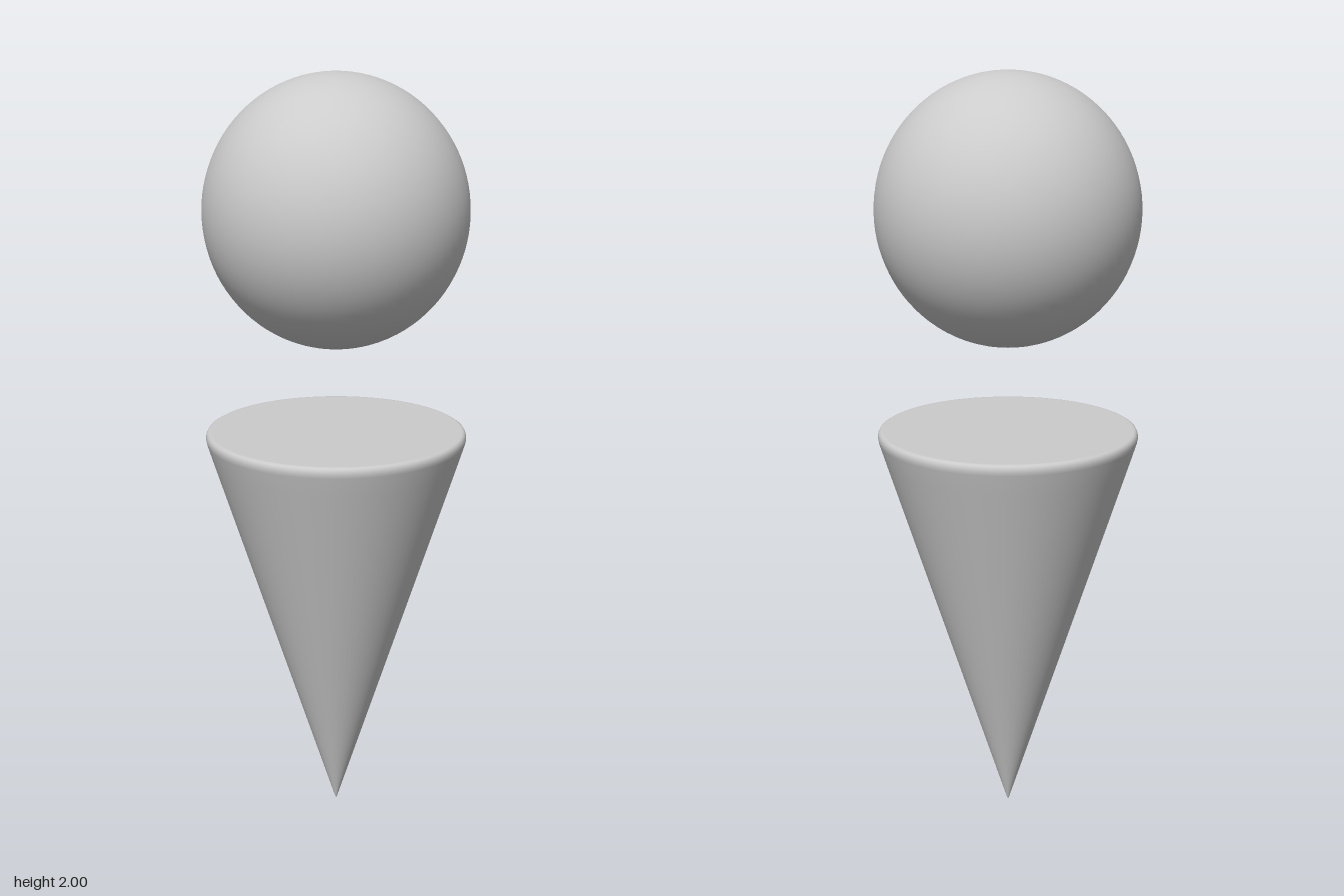
import * as THREE from 'three';

const material = new THREE.MeshStandardMaterial({ color: 0xcccccc });

function addPart(group, name, geometry) {
  const mesh = new THREE.Mesh(geometry, material);
  mesh.name = name;
  group.add(mesh);
  return mesh;
}

export function createModel() {
  const group = new THREE.Group();
  group.name = 'ballAboveCone';

  // Inverted cone with a softened rim and a flat top, from tip to centre of cap
  const profile = [
    [0, 0], [0.004, 0.01], [0.322, 1.0], [0.339, 1.054], [0.341, 1.064],
    [0.34, 1.072], [0.337, 1.078], [0.332, 1.081], [0.326, 1.081], [0, 1.081],
  ].map(([r, y]) => new THREE.Vector2(r, y));
  addPart(group, 'cone', new THREE.LatheGeometry(profile, 96));

  // Floating ball, slightly taller than wide
  const ball = addPart(group, 'ball', new THREE.SphereGeometry(1, 64, 48));
  ball.scale.set(0.339, 0.347, 0.339);
  ball.position.y = 1.653;

  return group;
}
